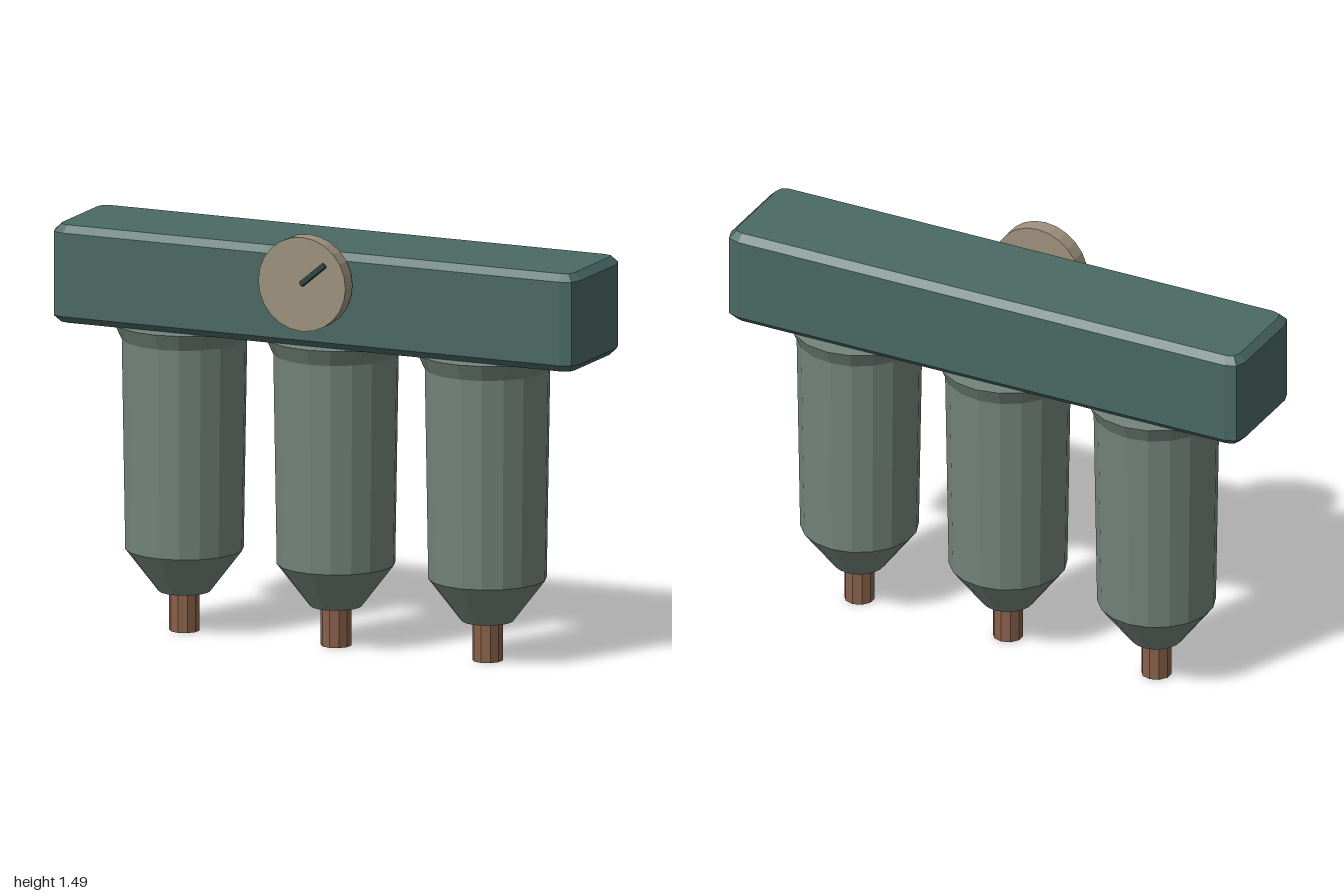
import * as THREE from 'three';
import { RoundedBoxGeometry } from 'three/addons/geometries/RoundedBoxGeometry.js';

function material(name, color) {
  const m = new THREE.MeshStandardMaterial({ color });
  m.name = name;
  m.flatShading = true;
  return m;
}

export function createModel() {
  const teal = material('teal housing', 0x4a6964);
  const grey = material('grey green bowl', 0x73837b);
  const beige = material('beige dial', 0x9f927e);
  const copper = material('copper outlet', 0x89604a);
  const dark = material('dark teal needle', 0x2a4543);

  const model = new THREE.Group();
  model.name = 'tripleFilterUnit';
  const axisZ = -0.028;

  function add(parent, name, geometry, mat, x = 0, y = 0, z = 0) {
    const mesh = new THREE.Mesh(geometry, mat);
    mesh.name = name;
    mesh.position.set(x, y, z);
    parent.add(mesh);
    return mesh;
  }

  // Housing: plan outline with eased corners, chamfered top and bottom
  const chamfer = 0.025, ease = 0.035;
  const hx = 1 - chamfer, hz = 0.203 - chamfer;
  const plan = new THREE.Shape();
  plan.moveTo(-hx + ease, -hz);
  plan.lineTo(hx - ease, -hz);
  plan.quadraticCurveTo(hx, -hz, hx, -hz + ease);
  plan.lineTo(hx, hz - ease);
  plan.quadraticCurveTo(hx, hz, hx - ease, hz);
  plan.lineTo(-hx + ease, hz);
  plan.quadraticCurveTo(-hx, hz, -hx, hz - ease);
  plan.lineTo(-hx, -hz + ease);
  plan.quadraticCurveTo(-hx, -hz, -hx + ease, -hz);
  const housing = new THREE.ExtrudeGeometry(plan, {
    depth: 0.345 - 2 * chamfer, bevelEnabled: true, bevelSegments: 1,
    bevelSize: chamfer, bevelThickness: chamfer, curveSegments: 2,
  });
  housing.rotateX(-Math.PI / 2);
  add(model, 'housing', housing, teal, 0, 1.085 + chamfer, axisZ);

  // Three filter bowls, each with a drain outlet underneath
  const profile = [[0, 0.14], [0.09, 0.14], [0.205, 0.29], [0.217, 1.03], [0.244, 1.087], [0, 1.087]]
    .map(([r, y]) => new THREE.Vector2(r, y));
  for (const x of [-0.577, 0, 0.577]) {
    const filter = new THREE.Group();
    filter.name = 'filter';
    filter.position.set(x, 0, axisZ);
    add(filter, 'bowl', new THREE.LatheGeometry(profile, 18), grey);
    add(filter, 'drainOutlet', new THREE.CylinderGeometry(0.053, 0.053, 0.16, 10), copper, 0, 0.08, 0);
    model.add(filter);
  }

  // Dial in front of the housing, with its needle
  const dial = new THREE.CylinderGeometry(0.166, 0.166, 0.058, 24);
  dial.rotateX(Math.PI / 2);
  add(model, 'dial', dial, beige, 0, 1.325, 0.22);
  const needle = add(model, 'needle', new RoundedBoxGeometry(0.118, 0.02, 0.02, 1, 0.005), dark, 0.047, 1.365, 0.261);
  needle.rotation.z = 0.7;

  return model;
}
